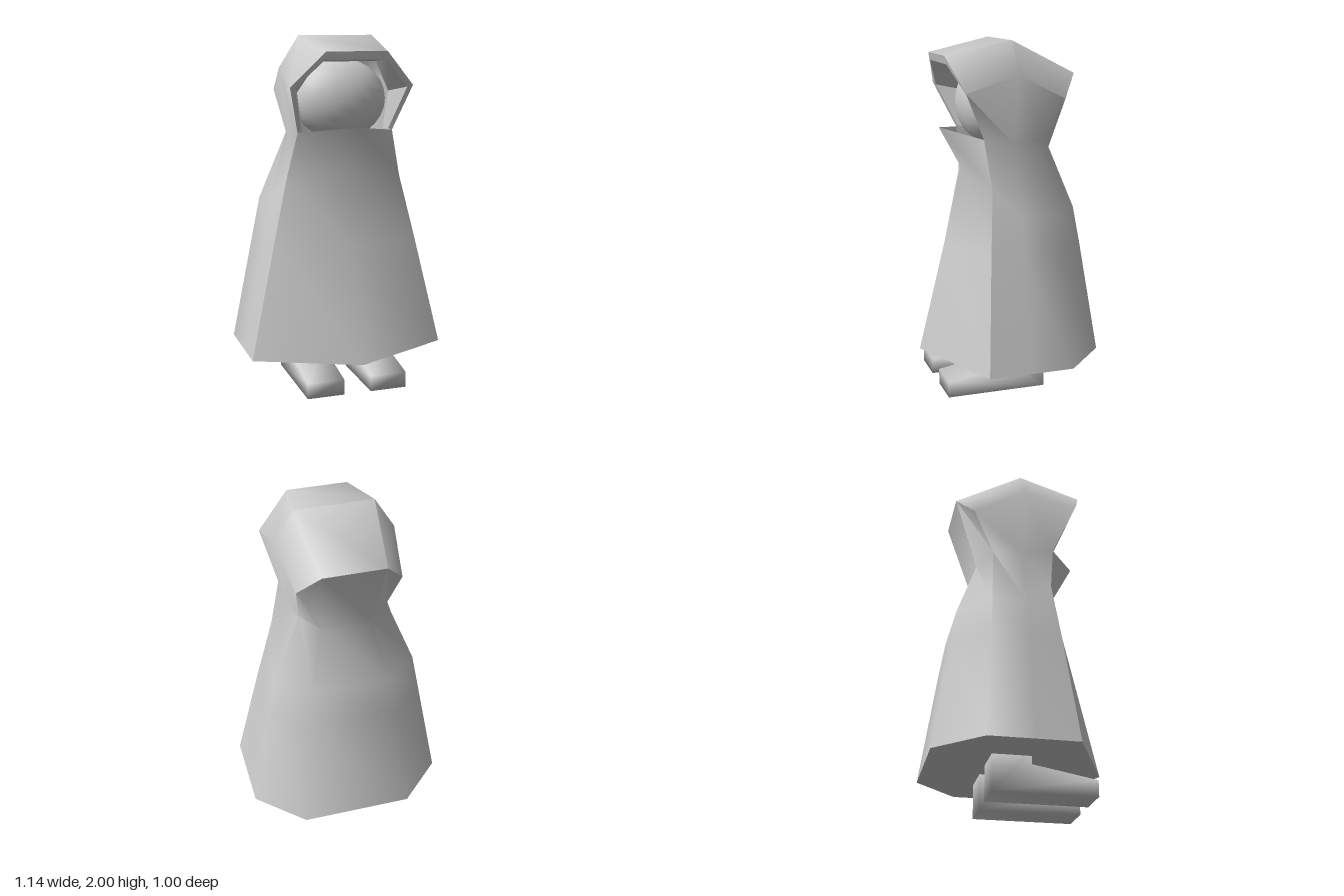
import * as THREE from 'three';
import { mergeGeometries, mergeVertices, toCreasedNormals } from 'three/addons/utils/BufferGeometryUtils.js';

const mat = new THREE.MeshStandardMaterial({ color: 0xcccccc, side: THREE.DoubleSide });

// Surface through rows of points; every row has the same number of points.
function grid(rows) {
  const n = rows[0].length, index = [];
  for (let i = 0; i < rows.length - 1; i++) {
    for (let c = 0; c < n - 1; c++) {
      const a = i * n + c, d = a + n;
      index.push(a, a + 1, d, a + 1, d + 1, d);
    }
  }
  const g = new THREE.BufferGeometry();
  g.setAttribute('position', new THREE.Float32BufferAttribute(rows.flat(2), 3));
  g.setIndex(index);
  return g;
}

const flip = ([x, y, z]) => [-x, y, z];
// Completes a half row with its mirror image.
const mirrored = (half) => [...half, ...half.map(flip).reverse()];

function smooth(geometry, crease = 1.0) {
  return toCreasedNormals(mergeVertices(geometry, 1e-4), crease);
}

function add(group, name, geometry) {
  const mesh = new THREE.Mesh(geometry, mat);
  mesh.name = name;
  group.add(mesh);
  return mesh;
}

export function createModel() {
  const model = new THREE.Group();
  model.name = 'hoodedFigure';

  // Cloak and hood: half rings from the front edge round the side to the back
  const rings = [
    [[0.57, 0.2, 0.24], [0.57, 0.2, 0], [0.57, 0.2, -0.25], [0.315, 0.2, -0.5]],
    [[0.425, 0.84, 0.185], [0.445, 0.84, 0], [0.45, 0.84, -0.21], [0.25, 0.84, -0.405]],
    [[0.34, 1.2, 0.15], [0.4, 1.05, 0], [0.41, 1.05, -0.2], [0.23, 1.05, -0.37]],
    [[0.28, 1.47, 0.18], [0.28, 1.43, 0], [0.25, 1.44, -0.17], [0.14, 1.39, -0.25]],
    [[0.355, 1.73, 0.3], [0.335, 1.82, 0], [0.29, 1.68, -0.29], [0.175, 1.81, -0.385]],
    [[0.175, 1.92, 0.37], [0.22, 2, 0], [0.175, 1.81, -0.385], [0.175, 1.81, -0.385]],
  ];
  const crown = rings[5].slice(0, 3).map((p) => [flip(p), p]);
  add(model, 'cloakAndHood', smooth(mergeGeometries([grid(rings.map(mirrored)), grid(crown)])));

  // Front panel, flaring into a pointed collar
  const panelCentre = [[0, 0.2, 0.495], [0, 0.84, 0.336], [0, 1.27, 0.23], [0, 1.51, 0.36]];
  const panel = panelCentre.map((mid, i) => [flip(rings[i][0]), mid, rings[i][0]]);
  add(model, 'frontPanel', smooth(grid(panel), 1.2));

  // Hood rim folding inwards
  const rim = [
    rings.slice(3).map((r) => r[0]),
    [[0.26, 1.48, 0.175], [0.325, 1.72, 0.29], [0.18, 1.875, 0.36]],
    [[0.24, 1.47, 0.13], [0.27, 1.69, 0.14], [0.17, 1.86, 0.2]],
  ];
  add(model, 'hoodRim', smooth(grid(rim.map(mirrored)), 0.7));

  // Face inside the hood
  const face = add(model, 'face', new THREE.SphereGeometry(1, 20, 14));
  face.scale.set(0.27, 0.23, 0.18);
  face.position.set(0, 1.645, 0.07);

  // Closed underside of the cloak
  const hem = mirrored(rings[0]);
  const outline = [[0, 0.2, 0.495], ...hem].map(([x, , z]) => new THREE.Vector2(x, z));
  const underside = add(model, 'underside', new THREE.ShapeGeometry(new THREE.Shape(outline)));
  underside.rotation.x = Math.PI / 2;
  underside.position.y = 0.2;

  // Feet: side profile (z, y) extruded across the width
  const profile = [[-0.175, 0], [0.4, 0], [0.4, 0.09], [0.04, 0.155], [0.04, 0.23], [-0.175, 0.23]];
  const footShape = new THREE.Shape(profile.map(([z, y]) => new THREE.Vector2(z, y)));
  const footGeo = new THREE.ExtrudeGeometry(footShape, { depth: 0.215, bevelEnabled: false });
  footGeo.deleteAttribute('uv');
  footGeo.deleteAttribute('normal');
  footGeo.rotateY(-Math.PI / 2);
  footGeo.translate(0.1075, 0, 0);
  const foot = mergeVertices(footGeo, 1e-4);
  foot.computeVertexNormals();
  for (const [name, side] of [['leftFoot', 1], ['rightFoot', -1]]) {
    add(model, name, foot).position.x = side * 0.1875;
  }

  return model;
}
